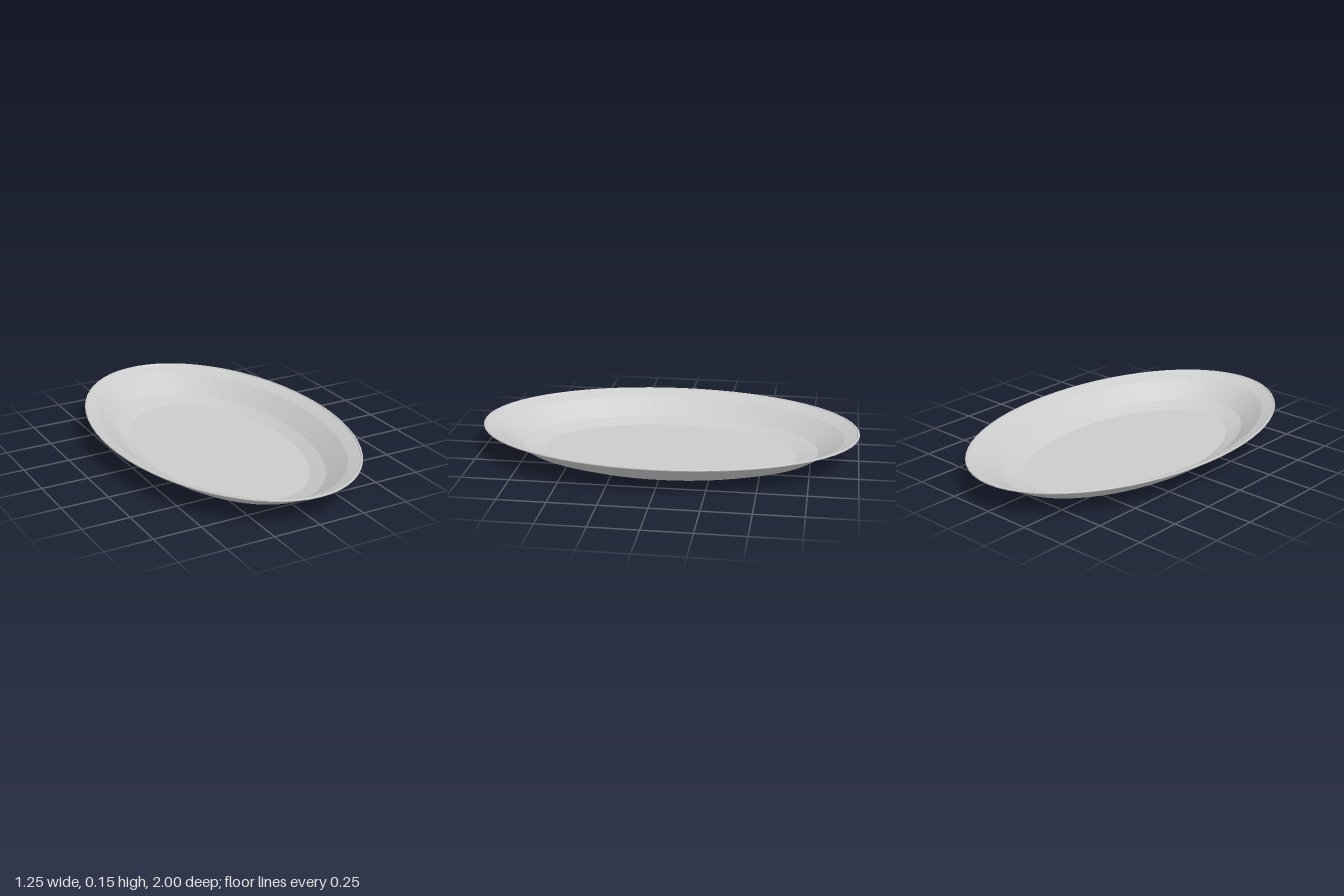
import * as THREE from 'three';

const SEGMENTS = 64;

// Lofts a surface through elliptical rings [rx, rz, y]; a zero-size ring closes it.
function loftEllipses(rings) {
  const positions = [];
  const point = ([rx, rz, y], i) => {
    const a = (i / SEGMENTS) * Math.PI * 2;
    return [rx * Math.cos(a), y, rz * Math.sin(a)];
  };
  for (let r = 0; r < rings.length - 1; r++) {
    const lower = rings[r], upper = rings[r + 1];
    for (let i = 0; i < SEGMENTS; i++) {
      const a = point(lower, i), b = point(lower, i + 1);
      const c = point(upper, i + 1), d = point(upper, i);
      if (lower[0] > 0) positions.push(...a, ...c, ...b);
      if (upper[0] > 0) positions.push(...a, ...d, ...c);
      
    }
  }
  const geometry = new THREE.BufferGeometry();
  geometry.setAttribute('position', new THREE.Float32BufferAttribute(positions, 3));
  geometry.computeVertexNormals();
  return geometry;
}

export function createModel() {
  const group = new THREE.Group();
  group.name = 'ovalDish';
  const material = new THREE.MeshStandardMaterial({ color: 0xcccccc, flatShading: true });
  const add = (name, rings) => {
    const mesh = new THREE.Mesh(loftEllipses(rings), material);
    mesh.name = name;
    group.add(mesh);
  };

  // Floor edge, lower bevel, sloping wall and flared lip
  const wall = [
    [0.397, 0.678, 0],
    [0.456, 0.79, 0.03],
    [0.553, 0.92, 0.114],
    [0.615, 0.988, 0.142],
  ];
  const thickness = 0.005;
  const inside = wall.map(([rx, rz, y]) => [rx, rz, y + thickness]).reverse();

  // Underside, from the centre of the base out to the lip
  add('outerShell', [[0, 0, 0], ...wall]);

  // Thin rolled edge joining both surfaces
  add('rim', [
    wall[3],
    [0.624, 0.999, 0.143],
    [0.625, 1.0, 0.147],
    [0.623, 0.998, 0.151],
    [0.617, 0.991, 0.151],
    inside[0],
  ]);

  // Hollow, from the lip down to the centre of the floor
  add('innerShell', [...inside, [0, 0, thickness]]);

  return group;
}
